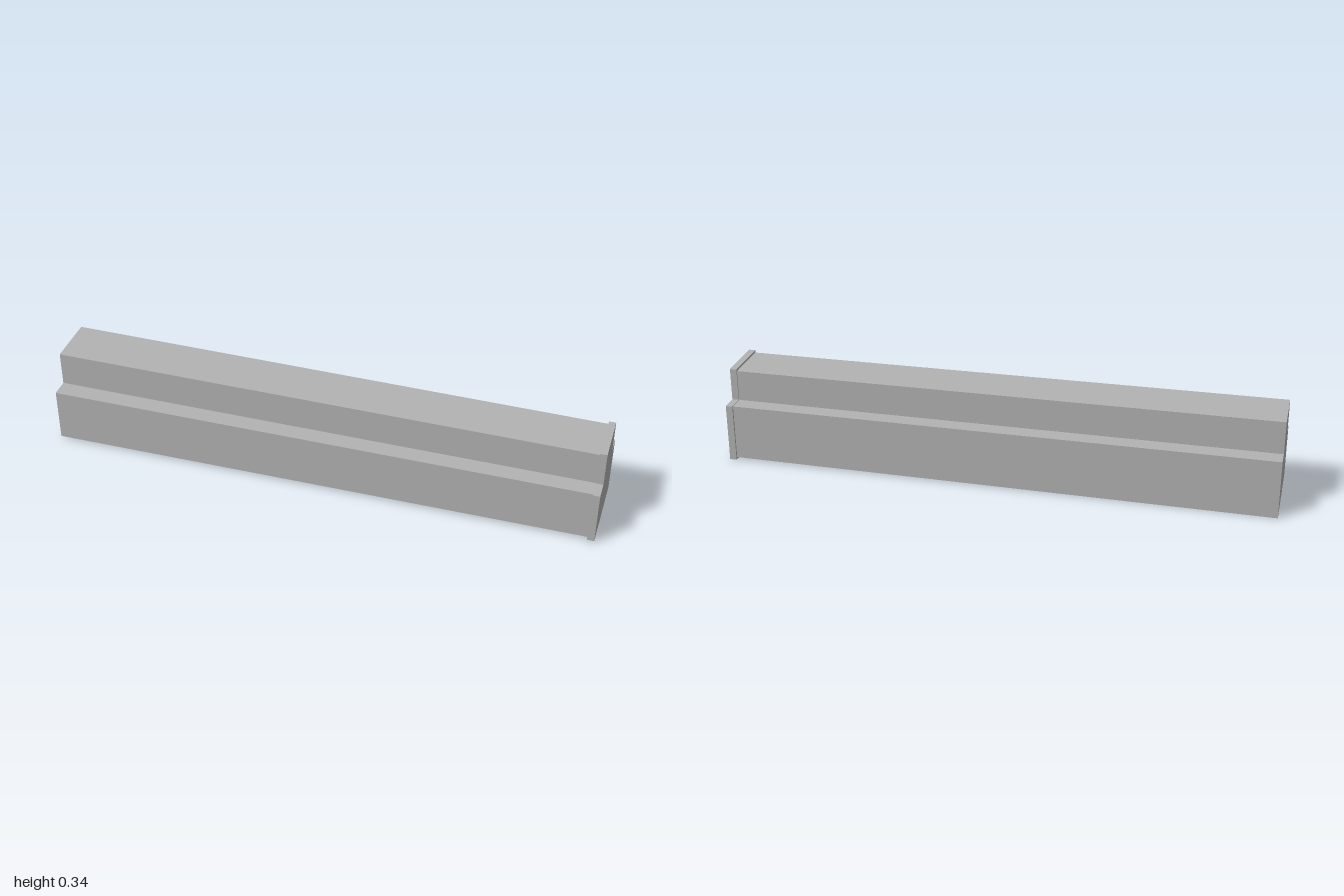
import * as THREE from 'three';

// Stepped cross-section as [z, y], shared by the bar and its end flange
const PROFILE = [
  [0.159, 0.008], [0.055, 0.008], [0.055, 0], [-0.158, 0],
  [-0.158, 0.215], [-0.095, 0.215], [-0.095, 0.335],
  [0.093, 0.335], [0.093, 0.207], [0.159, 0.207],
];
const MID_Y = 0.167;

// Extrudes the profile along x, scaling the far end about its centre
function bar(x0, x1, endScale, material, name) {
  const shape = new THREE.Shape(PROFILE.map(([z, y]) => new THREE.Vector2(-z, y)));
  const geo = new THREE.ExtrudeGeometry(shape, { depth: x1 - x0, bevelEnabled: false });
  geo.rotateY(Math.PI / 2).translate(x0, 0, 0);
  const p = geo.attributes.position;
  for (let i = 0; i < p.count; i++) {
    const t = (p.getX(i) - x0) / (x1 - x0);
    const s = 1 + (endScale - 1) * t;
    p.setY(i, MID_Y + (p.getY(i) - MID_Y) * s);
    p.setZ(i, p.getZ(i) * s);
  }
  geo.computeVertexNormals();
  const mesh = new THREE.Mesh(geo, material);
  mesh.name = name;
  return mesh;
}

export function createModel() {
  const group = new THREE.Group();
  group.name = 'steppedBeam';
  const grey = new THREE.MeshStandardMaterial({ color: 0xb3b3b3 });
  grey.name = 'grey';

  // Long, gently tapering body
  group.add(bar(-1, 0.975, 0.955, grey, 'taperedBody'));
  // Full-size lip closing the narrow end
  group.add(bar(0.975, 1, 1, grey, 'endFlange'));
  return group;
}
